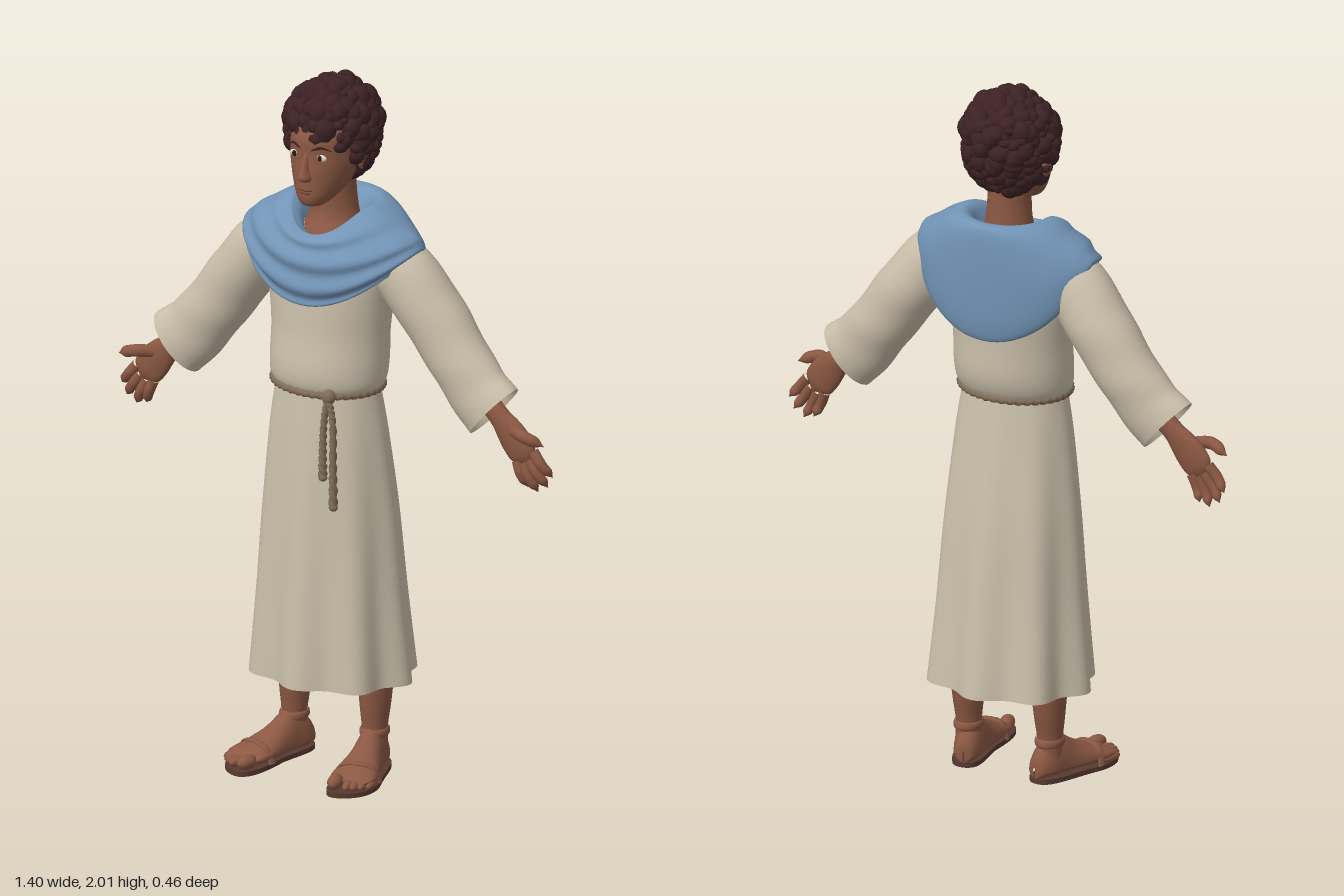
import * as THREE from 'three';
import { mergeGeometries } from 'three/addons/utils/BufferGeometryUtils.js';

const V = (x, y, z) => new THREE.Vector3(x, y, z);
const UP = V(0, 1, 0), FRONT = V(0, 0, 1);

const material = (name, color, side = THREE.FrontSide) => {
  const m = new THREE.MeshStandardMaterial({ color, side });
  m.name = name;
  return m;
};

// Catmull-Rom blend of the rows of a profile table, v in 0..1
function blend(rows, v) {
  const n = rows.length - 1, f = Math.min(v * n, n - 1e-6), i = Math.floor(f), t = f - i;
  const at = k => rows[Math.max(0, Math.min(n, k))];
  return rows[0].map((_, c) => {
    const [a, b, d, e] = [at(i - 1)[c], at(i)[c], at(i + 1)[c], at(i + 2)[c]];
    return b + 0.5 * t * (d - a + t * (2 * a - 5 * b + 4 * d - e + t * (3 * (b - d) + e - a)));
  });
}

// Smooth closed-loop surface: fn(angle, v) gives a point
function surface(nu, nv, fn) {
  const pos = [], idx = [];
  for (let j = 0; j <= nv; j++)
    for (let i = 0; i < nu; i++) pos.push(...fn((i / nu) * Math.PI * 2, j / nv).toArray());
  for (let j = 0; j < nv; j++)
    for (let i = 0; i < nu; i++) {
      const k = (i + 1) % nu, a = j * nu + i, b = j * nu + k, c = b + nu, d = a + nu;
      idx.push(a, b, c, a, c, d);
    }
  const g = new THREE.BufferGeometry();
  g.setAttribute('position', new THREE.Float32BufferAttribute(pos, 3));
  g.setIndex(idx);
  g.computeVertexNormals();
  return g;
}

// Upright loft; rows are [y, half width, front z, back z]
const loft = (rows, nu, nv, mod = () => 1) => surface(nu, nv, (a, v) => {
  const [y, rx, zf, zb] = blend(rows, v), m = mod(a, v), c = (zf + zb) / 2;
  return V(rx * Math.sin(a) * m, y, c + ((zf - zb) / 2) * Math.cos(a) * m);
});

// Sweep along a path; rows are [radius across, radius along B]
function sweep(points, B, rows, nu, nv, mod = () => 1, closed = false) {
  const curve = new THREE.CatmullRomCurve3(points, closed);
  return surface(nu, nv, (a, v) => {
    const A = curve.getTangent(v).cross(B).normalize(), [ra, rb] = blend(rows, v), m = mod(a, v);
    return curve.getPoint(v).addScaledVector(A, ra * m * Math.sin(a)).addScaledVector(B, rb * m * Math.cos(a));
  });
}

const ball = (x, y, z, rx, ry, rz, w = 14, h = 10) =>
  new THREE.SphereGeometry(1, w, h).scale(rx, ry, rz).translate(x, y, z);

function mirrored(geo) {
  const g = geo.clone().scale(-1, 1, 1), ix = g.index;
  for (let i = 0; i < ix.count; i += 3) {
    const t = ix.getX(i);
    ix.setX(i, ix.getX(i + 1));
    ix.setX(i + 1, t);
  }
  return g;
}

export function createModel() {
  const model = new THREE.Group();
  model.name = 'robedFigure';
  const skin = material('skin', 0x8b5843);
  const lipColor = material('lip', 0x7d4b3a);
  const robe = material('robe cloth', 0xcabfaa, THREE.DoubleSide);
  const blue = material('blue cloth', 0x7294b6, THREE.DoubleSide);
  const hairColor = material('hair', 0x3d2224);
  const cord = material('cord', 0x7f6c57);
  const leather = material('leather', 0x573a31);
  const white = material('eye white', 0xd8d2c8);
  const iris = material('iris', 0x2b1a14);

  const add = (name, mat, geo) => {
    const m = new THREE.Mesh(geo, mat);
    m.name = name;
    model.add(m);
  };
  const both = (name, mat, geo) => {
    add(name + 'Left', mat, geo);
    add(name + 'Right', mat, mirrored(geo));
  };

  // Robe: pleated skirt and bloused top
  add('skirt', robe, loft([[0.27, 0.25, 0.19, -0.23], [0.5, 0.227, 0.172, -0.2], [0.75, 0.206, 0.153, -0.17],
    [0.98, 0.178, 0.135, -0.135], [1.13, 0.15, 0.12, -0.112]], 96, 24,
  (a, v) => 1 - 0.13 * Math.pow(1 - v, 1.2) * (1 - Math.cos(8 * a)) / 2));
  add('robeTop', robe, loft([[1.1, 0.14, 0.11, -0.1], [1.135, 0.166, 0.135, -0.13], [1.19, 0.172, 0.14, -0.147],
    [1.28, 0.173, 0.128, -0.148], [1.38, 0.184, 0.122, -0.15], [1.46, 0.195, 0.11, -0.14],
    [1.53, 0.18, 0.08, -0.13], [1.58, 0.09, 0.04, -0.1]], 48, 28));

  // Sleeves, with the cuff turned inward
  both('sleeve', robe, sweep([V(0.12, 1.5, -0.03), V(0.22, 1.465, -0.035), V(0.31, 1.355, -0.045),
    V(0.39, 1.25, -0.045), V(0.455, 1.168, -0.04), V(0.512, 1.117, -0.035)], FRONT,
  [[0.08, 0.085], [0.09, 0.09], [0.092, 0.088], [0.09, 0.08], [0.094, 0.07], [0.099, 0.066]], 32, 24,
  (a, v) => 1 + 0.02 * Math.sin(v * 22 + 2 * Math.sin(a)) * Math.sin(v * Math.PI)));
  both('cuffLining', robe, sweep([V(0.512, 1.117, -0.035), V(0.455, 1.168, -0.04)], FRONT,
    [[0.099, 0.066], [0.05, 0.05]], 32, 3));

  // Draped cowl; rows are [half width, front z, back z, front y, side y, back y]
  const cowl = [[0.19, 0.1, -0.13, 1.43, 1.5, 1.37], [0.25, 0.135, -0.165, 1.38, 1.51, 1.305],
    [0.273, 0.152, -0.182, 1.41, 1.535, 1.36], [0.265, 0.152, -0.188, 1.48, 1.565, 1.49],
    [0.2, 0.135, -0.185, 1.545, 1.61, 1.61], [0.135, 0.105, -0.168, 1.575, 1.645, 1.645],
    [0.1, 0.075, -0.13, 1.56, 1.63, 1.635], [0.072, 0.04, -0.09, 1.52, 1.56, 1.57]];
  add('cowl', blue, surface(72, 48, (a, v) => {
    const [rx, zf, zb, yf, ys, yb] = blend(cowl, v), s = Math.sin(a), c = Math.cos(a);
    const w = c > 0 ? c * c : Math.pow(-c, 1.2), mid = -0.04;
    const fold = 1 + 0.04 * Math.sin(v * 42 + 1.2 * s) * Math.sin(Math.PI * v) * Math.max(0, (c + 0.3) / 1.3);
    return V(rx * s * fold, ys + ((c > 0 ? yf : yb) - ys) * w, mid + ((c > 0 ? zf : zb) - mid) * Math.abs(c) * fold);
  }));

  // Twisted cord belt with knot and two hanging ends
  const twist = k => (a, v) => 1 + 0.22 * Math.cos(2 * a + k * v);
  const loop = Array.from({ length: 16 }, (_, i) => {
    const a = (i / 16) * Math.PI * 2;
    return V(0.158 * Math.sin(a), 1.122, 0.005 + 0.128 * Math.cos(a));
  });
  add('belt', cord, sweep(loop, UP, [[0.01, 0.01], [0.01, 0.01]], 10, 160, twist(250), true));
  add('beltKnot', cord, ball(0.078, 1.122, 0.126, 0.02, 0.022, 0.017));
  [[[0.078, 1.12], [0.068, 1.05], [0.066, 0.97], [0.068, 0.89]], [[0.08, 1.12], [0.095, 1.06], [0.1, 0.93], [0.104, 0.81]]]
    .forEach((p, i) => {
      const pts = p.map(([x, y]) => V(x, y, 0.131 + (1.12 - y) * 0.04));
      add('beltEnd' + (i + 1), cord, sweep(pts, FRONT, [[0.009, 0.009], [0.009, 0.009], [0.01, 0.01], [0.012, 0.011]], 10, 60, twist(70)));
      add('endKnot' + (i + 1), cord, ball(pts[3].x, pts[3].y, pts[3].z, 0.013, 0.011, 0.012));
    });

  // Neck and head
  add('neck', skin, loft([[1.5, 0.11, 0.075, -0.12], [1.56, 0.09, 0.062, -0.1], [1.61, 0.068, 0.036, -0.095],
    [1.68, 0.06, 0.035, -0.09], [1.74, 0.06, 0.04, -0.09]], 32, 12));
  add('head', skin, loft([[1.658, 0.004, 0.09, 0.07], [1.663, 0.032, 0.116, 0.04], [1.685, 0.054, 0.127, -0.02],
    [1.72, 0.076, 0.126, -0.07], [1.77, 0.094, 0.124, -0.11], [1.81, 0.1, 0.12, -0.12], [1.86, 0.1, 0.118, -0.125],
    [1.91, 0.09, 0.085, -0.11], [1.955, 0.05, 0.03, -0.06], [1.965, 0.004, 0, -0.02]], 40, 36));
  add('nose', skin, loft([[1.735, 0.003, 0.12, 0.1], [1.739, 0.018, 0.139, 0.09], [1.75, 0.02, 0.15, 0.085],
    [1.77, 0.013, 0.143, 0.09], [1.8, 0.01, 0.13, 0.09], [1.825, 0.008, 0.118, 0.09]], 20, 16));
  add('upperLip', lipColor, ball(0, 1.713, 0.123, 0.025, 0.005, 0.007));
  add('lowerLip', lipColor, ball(0, 1.704, 0.122, 0.02, 0.006, 0.007));
  both('ear', skin, ball(0.104, 1.785, -0.005, 0.012, 0.032, 0.02));
  both('eye', white, ball(0.042, 1.808, 0.108, 0.018, 0.01, 0.007));
  both('iris', iris, ball(0.041, 1.808, 0.1125, 0.0075, 0.0085, 0.0045));
  both('eyebrow', hairColor, sweep([V(0.018, 1.829, 0.119), V(0.042, 1.838, 0.111), V(0.066, 1.828, 0.094)], FRONT,
    [[0.002, 0.002], [0.004, 0.003], [0.001, 0.001]], 8, 10));

  // Hair: a cap covered with uneven curls, open over the face
  let seed = 7;
  const rnd = () => (seed = (seed * 16807) % 2147483647) / 2147483647;
  const curls = [ball(0, 1.86, -0.025, 0.12, 0.122, 0.118, 32, 24)];
  for (let i = 0; i < 240; i++) {
    const h = 1 - 2 * (i + 0.5) / 240, r = Math.sqrt(1 - h * h), a = i * 2.39996 + 0.3 * rnd();
    const size = 0.014 + 0.022 * rnd(), out = 1.12 - size * 4;
    const x = 0.115 * r * Math.sin(a) * out, z = -0.025 + 0.115 * r * Math.cos(a) * out;
    const y = 1.86 + h * (h < 0 ? 0.145 : 0.115) * out;
    if (y < 1.72 || (z > -0.01 && y < 1.76 + z)) continue;
    curls.push(ball(x, y, z, size, size * (0.7 + 0.5 * rnd()), size, 10, 8));
  }
  add('hair', hairColor, mergeGeometries(curls));

  // Hands: wrist, palm, four fingers and thumb
  const hand = [sweep([V(0.46, 1.17, -0.04), V(0.535, 1.1, -0.035), V(0.575, 1.057, -0.033), V(0.608, 1.015, -0.032), V(0.63, 0.985, -0.032)],
    FRONT, [[0.034, 0.03], [0.031, 0.025], [0.043, 0.022], [0.049, 0.019], [0.042, 0.014], [0.002, 0.002]], 20, 20)];
  [[0.64, 1.025, 0.697, 0.958], [0.628, 1.0, 0.682, 0.926], [0.608, 0.988, 0.65, 0.907], [0.588, 0.99, 0.618, 0.915],
    [0.57, 1.075, 0.687, 1.055]].forEach(([x0, y0, x1, y1], i) => {
    const thumb = i === 4, z = thumb ? 0 : -0.03, r = thumb ? 0.018 : 0.0155;
    hand.push(sweep([V(x0, y0, -0.033), V((x0 + x1) / 2, (y0 + y1) / 2 + (thumb ? 0.012 : 0), z), V(x1, y1, z - 0.012)], FRONT,
      [[r, r], [r, r], [r, r], [r * 0.95, r * 0.9], [r * 0.85, r * 0.8], [0.001, 0.001]], 12, 18));
  });
  both('hand', skin, mergeGeometries(hand));

  // Legs
  both('leg', skin, loft([[0.06, 0.036, 0.012, -0.07], [0.12, 0.035, 0.01, -0.066], [0.2, 0.043, 0.018, -0.08],
    [0.32, 0.052, 0.025, -0.09], [0.6, 0.06, 0.03, -0.09]], 24, 16).translate(0.13, 0, 0));

  // Feet, turned outward, on flat sandal soles
  const place = g => g.translate(0, 0, 0.03).rotateY(0.24).translate(0.127, 0, -0.03);
  const footRows = [[-0.086, 0.004, 0.045], [-0.08, 0.026, 0.075], [-0.045, 0.04, 0.115], [0, 0.042, 0.13],
    [0.05, 0.049, 0.098], [0.11, 0.061, 0.07], [0.16, 0.063, 0.052], [0.19, 0.045, 0.035]];
  const foot = [surface(24, 24, (a, v) => {
    const [z, w, h] = blend(footRows, v), s = Math.cos(a);
    return V(-w * Math.sin(a), s > 0 ? 0.035 + (h - 0.035) * s : 0.035 + 0.023 * s, z);
  })];
  for (let i = 0; i < 5; i++) {
    const r = i ? 0.0145 - i * 0.0006 : 0.021;
    foot.push(ball(i ? -0.02 + i * 0.0185 : -0.038, 0.012 + r, 0.192 - i * i * 0.0022, r, r, 0.034));
  }
  both('foot', skin, place(mergeGeometries(foot.map(g => (g.deleteAttribute('uv'), g)))));
  const sole = new THREE.Shape();
  sole.moveTo(0, 0.088);
  sole.bezierCurveTo(0.06, 0.088, 0.045, 0, 0.062, -0.1);
  sole.bezierCurveTo(0.075, -0.18, 0.03, -0.23, -0.03, -0.232);
  sole.bezierCurveTo(-0.085, -0.225, -0.06, -0.12, -0.046, -0.06);
  sole.bezierCurveTo(-0.04, 0.02, -0.05, 0.088, 0, 0.088);
  const soleGeo = new THREE.ExtrudeGeometry(sole, { depth: 0.014, bevelEnabled: false, curveSegments: 12 }).rotateX(-Math.PI / 2);
  soleGeo.setIndex([...Array(soleGeo.attributes.position.count).keys()]);
  both('sandalSole', leather, place(soleGeo));

  // Sandal straps round the ankle and over the toes
  both('ankleStrap', skin, loft([[0.1, 0.037, 0.016, -0.072], [0.106, 0.04, 0.019, -0.075], [0.118, 0.04, 0.016, -0.073],
    [0.123, 0.036, 0.011, -0.068]], 24, 6).translate(0.13, 0, 0));
  both('toeStrap', skin, place(sweep([V(-0.064, 0.014, 0.12), V(-0.046, 0.056, 0.125), V(0, 0.067, 0.125), V(0.046, 0.056, 0.12), V(0.066, 0.014, 0.11)],
    FRONT, [[0.004, 0.012], [0.004, 0.012]], 10, 16)));

  return model;
}
